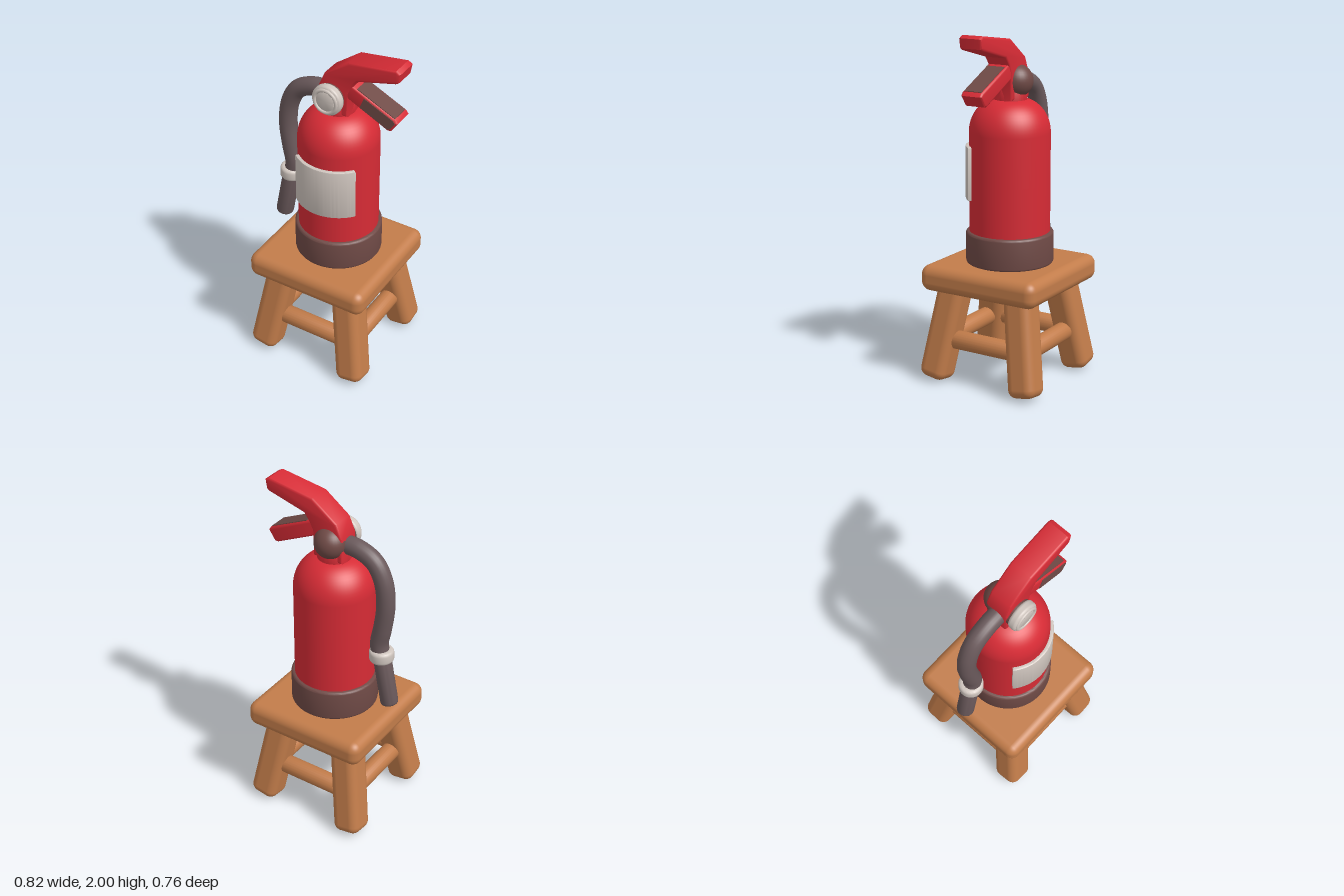
import * as THREE from 'three';
import { RoundedBoxGeometry } from 'three/addons/geometries/RoundedBoxGeometry.js';
import { toCreasedNormals } from 'three/addons/utils/BufferGeometryUtils.js';

const V = (x, y, z) => new THREE.Vector3(x, y, z);

function material(name, color) {
  const m = new THREE.MeshStandardMaterial({ color });
  m.name = name;
  return m;
}

// Solid round piece along y, centred, with softened rims
function puck(r, h, bevel, segments = 40) {
  const pts = [new THREE.Vector2(0, -h / 2)];
  for (const side of [-1, 1]) {
    for (let i = 0; i <= 4; i++) {
      const a = ((side < 0 ? i - 4 : i) / 4) * Math.PI / 2;
      pts.push(new THREE.Vector2(r - bevel + bevel * Math.cos(a), side * (h / 2 - bevel) + bevel * Math.sin(a)));
    }
  }
  pts.push(new THREE.Vector2(0, h / 2));
  return toCreasedNormals(new THREE.LatheGeometry(pts, segments), 0.6);
}

// Side profile in x/y, extruded over a z range with a soft bevel
function slab(points, z0, z1, bevel) {
  const shape = new THREE.Shape(points.map(([x, y]) => new THREE.Vector2(x, y)));
  const geo = new THREE.ExtrudeGeometry(shape, {
    depth: z1 - z0 - 2 * bevel, bevelEnabled: bevel > 0, bevelSize: bevel,
    bevelThickness: bevel, bevelOffset: -bevel, bevelSegments: 3,
  });
  geo.translate(0, 0, z0 + bevel);
  return toCreasedNormals(geo, 0.6);
}

export function createModel() {
  const model = new THREE.Group();
  model.name = 'extinguisherOnStool';
  const red = material('red paint', 0xd62b35);
  const wood = material('wood', 0xc27c4a);
  const brown = material('dark brown', 0x6f4a46);
  const rubber = material('grey rubber', 0x6a595b);
  const pale = material('pale metal', 0xcfc5be);

  const add = (name, geo, mat, x = 0, y = 0, z = 0) => {
    const mesh = new THREE.Mesh(geo, mat);
    mesh.name = name;
    mesh.position.set(x, y, z);
    model.add(mesh);
    return mesh;
  };
  // Place a y-aligned geometry along the line from a to b
  const along = (name, geo, mat, a, b) => {
    const mesh = add(name, geo, mat);
    mesh.position.copy(a).add(b).multiplyScalar(0.5);
    mesh.quaternion.setFromUnitVectors(V(0, 1, 0), b.clone().sub(a).normalize());
    return mesh;
  };

  // Stool: seat, splayed legs and four stretchers
  add('seat', new RoundedBoxGeometry(0.75, 0.15, 0.745, 5, 0.055), wood, 0, 0.615, -0.007);
  for (const sx of [-1, 1]) {
    for (const sz of [-1, 1]) {
      const foot = V(sx * 0.302, 0.015, sz * 0.302);
      const top = V(sx * 0.208, 0.6, sz * 0.208);
      along('leg', new RoundedBoxGeometry(0.168, 0.6, 0.168, 5, 0.05), wood, foot, top);
    }
  }
  const s = 0.262, rung = puck(0.054, 2 * s, 0.02, 24);
  for (const k of [-s, s]) {
    along('stretcher', rung, wood, V(-s, 0.25, k), V(s, 0.25, k));
    along('stretcher', rung, wood, V(k, 0.25, -s), V(k, 0.25, s));
  }

  // Tank: foot band, domed body and neck
  const cx = 0.008, cz = -0.014;
  add('footBand', puck(0.248, 0.185, 0.015, 64), brown, cx, 0.7775, cz);
  const profile = [new THREE.Vector2(0.228, 0.86), new THREE.Vector2(0.228, 1.15)];
  for (let i = 0; i <= 14; i++) {
    const a = (i / 14) * Math.PI / 2;
    profile.push(new THREE.Vector2(0.06 + 0.168 * Math.cos(a), 1.43 + 0.19 * Math.sin(a)));
  }
  profile.push(new THREE.Vector2(0, 1.62));
  add('tank', new THREE.LatheGeometry(profile, 64), red, cx, 0, cz);
  add('neck', puck(0.094, 0.12, 0.01), red, cx, 1.63, -0.018);

  // Label: curved plate around the tank front
  const a0 = -Math.PI / 2 - 0.71, a1 = -Math.PI / 2 + 0.9;
  const arc = new THREE.Shape();
  arc.absarc(0, 0, 0.242, a0, a1, false);
  arc.absarc(0, 0, 0.222, a1, a0, true);
  const labelGeo = new THREE.ExtrudeGeometry(arc, {
    depth: 0.29, curveSegments: 28, bevelSize: 0.006, bevelThickness: 0.008, bevelSegments: 2,
  });
  labelGeo.rotateX(-Math.PI / 2);
  add('label', toCreasedNormals(labelGeo, 0.6), pale, cx, 1.06, cz);

  // Valve and fixed upper handle in one bent profile
  add('handle', slab([
    [-0.085, 1.62], [-0.08, 1.77], [-0.045, 1.85], [0.105, 1.96], [0.385, 2.0], [0.41, 1.985],
    [0.4, 1.93], [0.385, 1.92], [0.16, 1.86], [0.13, 1.82], [0.105, 1.77], [0.1, 1.62],
  ], -0.085, 0.055, 0.014), red);
  add('valveBall', new THREE.SphereGeometry(0.092, 32, 20), brown, 0.005, 1.72, -0.057);

  // Squeeze lever with dark top and front facings
  add('lever', slab([[0.07, 1.75], [0.115, 1.825], [0.385, 1.7], [0.4, 1.68], [0.36, 1.622], [0.34, 1.62]],
    -0.08, 0.05, 0.012), red);
  add('leverFrontFacing', slab([[0.2, 1.775], [0.375, 1.695], [0.387, 1.678], [0.355, 1.635], [0.342, 1.633], [0.175, 1.71]],
    0.047, 0.053, 0), brown);
  add('leverTopFacing', slab([[0.15, 1.807], [0.152, 1.812], [0.382, 1.705], [0.38, 1.7]],
    -0.068, 0.04, 0), brown);

  // Pressure gauge
  const gaugePart = (name, r, z0, z1, mat, bevel) => {
    const mesh = add(name, puck(r, z1 - z0, bevel), mat, 0.002, 1.723, (z0 + z1) / 2);
    mesh.rotation.x = Math.PI / 2;
  };
  gaugePart('gaugeStem', 0.08, 0.0, 0.075, brown, 0.01);
  gaugePart('gaugeBody', 0.089, 0.062, 0.116, pale, 0.018);
  gaugePart('gaugeFace', 0.056, 0.11, 0.119, pale, 0.002);
  add('gaugeRim', new THREE.TorusGeometry(0.067, 0.011, 10, 40), pale, 0.002, 1.723, 0.114);

  // Hose, clip and nozzle
  const hz = -0.012;
  const path = new THREE.CatmullRomCurve3([
    [-0.05, 1.71], [-0.15, 1.702], [-0.245, 1.655], [-0.3, 1.56],
    [-0.32, 1.42], [-0.303, 1.26], [-0.285, 1.16], [-0.295, 1.08],
  ].map(([x, y]) => V(x, y, hz)));
  add('hose', new THREE.TubeGeometry(path, 48, 0.052, 20), rubber);
  along('hoseClip', puck(0.07, 0.075, 0.02), pale, V(-0.302, 1.047, hz), V(-0.299, 1.122, hz));
  along('nozzle', puck(0.051, 0.33, 0.018, 28), rubber, V(-0.362, 0.77, hz), V(-0.298, 1.1, hz));

  return model;
}
